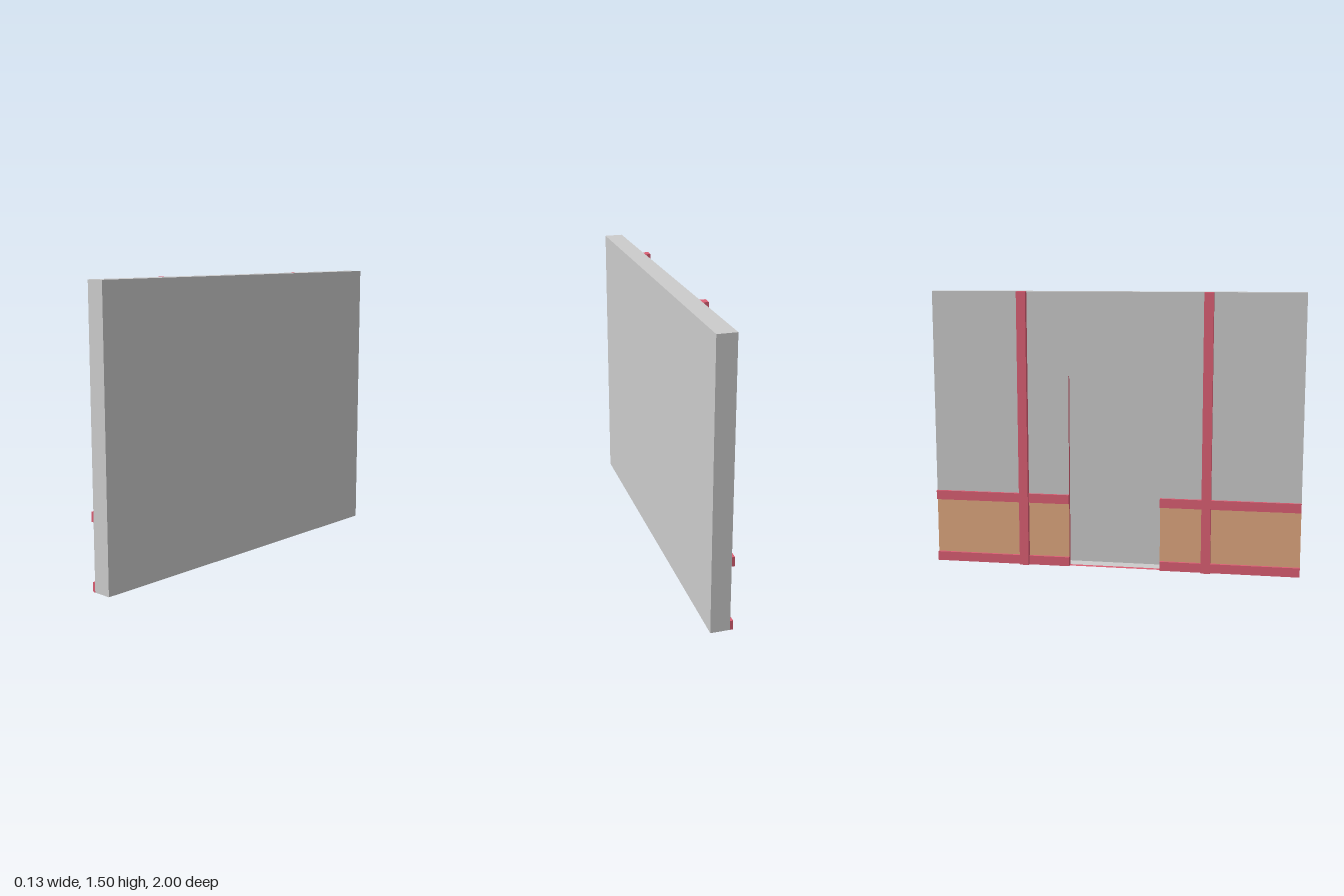
import * as THREE from 'three';

const H = 1.5, HALF = 1;                  // wall height, half length
const FACE = -0.035, REAR = 0.065;        // the two wall faces in x
const DOOR = 0.25, DOOR_H = 1.05;         // door half width and height
const REVEAL = 0.025;                     // depth of the door lining
const RAIL = 0.05, RAIL_Y = 0.35;

const side = THREE.DoubleSide;
const wallMat = new THREE.MeshStandardMaterial({ color: 0xcccccc, side });
const trimMat = new THREE.MeshStandardMaterial({ color: 0xdc5f74, side });
const panelMat = new THREE.MeshStandardMaterial({ color: 0xe0a880, side });

export function createModel() {
  const model = new THREE.Group();

  const add = (name, geometry, material, x = 0, y = 0, z = 0) => {
    const mesh = new THREE.Mesh(geometry, material);
    mesh.name = name;
    mesh.position.set(x, y, z);
    model.add(mesh);
    return mesh;
  };
  const flat = (points) =>
    new THREE.ShapeGeometry(new THREE.Shape(points.map(([a, b]) => new THREE.Vector2(a, b))));
  const box = (name, x0, x1, y0, y1, z0, z1) =>
    add(name, new THREE.BoxGeometry(x1 - x0, y1 - y0, z1 - z0), trimMat,
      (x0 + x1) / 2, (y0 + y1) / 2, (z0 + z1) / 2);

  // Hollow wall: panelled face above the wainscot, with the door opening
  add('wallFace', flat([
    [-HALF, RAIL_Y], [-DOOR, RAIL_Y], [-DOOR, DOOR_H], [DOOR, DOOR_H],
    [DOOR, RAIL_Y], [HALF, RAIL_Y], [HALF, H], [-HALF, H],
  ]).rotateY(-Math.PI / 2), wallMat, FACE);

  // Plain rear face, top and ends
  const thick = REAR - FACE, midX = (REAR + FACE) / 2;
  add('wallRear', new THREE.PlaneGeometry(2 * HALF, H).rotateY(Math.PI / 2), wallMat, REAR, H / 2);
  add('wallTop', new THREE.PlaneGeometry(thick, 2 * HALF).rotateX(-Math.PI / 2), wallMat, midX, H);
  add('wallEndFront', new THREE.PlaneGeometry(thick, H), wallMat, midX, H / 2, HALF);
  add('wallEndBack', new THREE.PlaneGeometry(thick, H).rotateY(Math.PI), wallMat, midX, H / 2, -HALF);

  // Floor of the wall, notched for the door sill
  const sillX = FACE + REVEAL;
  add('wallFloor', flat([
    [FACE, -HALF], [REAR, -HALF], [REAR, HALF], [FACE, HALF],
    [FACE, DOOR], [sillX, DOOR], [sillX, -DOOR], [FACE, -DOOR],
  ]).rotateX(Math.PI / 2), wallMat);

  // Door lining: sill, head and jambs
  const liningX = FACE + REVEAL / 2;
  for (const [name, y, turn] of [['doorSill', 0, -1], ['doorHead', DOOR_H, 1]]) {
    add(name, new THREE.PlaneGeometry(REVEAL, 2 * DOOR).rotateX(turn * Math.PI / 2),
      trimMat, liningX, y);
  }

  for (const s of [-1, 1]) {
    const jamb = new THREE.PlaneGeometry(REVEAL, DOOR_H);
    if (s > 0) jamb.rotateY(Math.PI);
    add('doorJamb', jamb, trimMat, liningX, DOOR_H / 2, s * DOOR);

    // Wainscot panel with base and chair rails
    add('wainscot', new THREE.PlaneGeometry(HALF - DOOR, RAIL_Y).rotateY(-Math.PI / 2),
      panelMat, FACE, RAIL_Y / 2, s * (HALF + DOOR) / 2);
    const z0 = s > 0 ? DOOR : -HALF, z1 = s > 0 ? HALF : -DOOR;
    box('baseRail', FACE - 0.015, FACE, 0, RAIL, z0, z1);
    box('chairRail', FACE - 0.015, FACE, RAIL_Y, RAIL_Y + RAIL, z0, z1);

    // Full-height post
    box('post', FACE - 0.03, FACE, 0, H, s * 0.5 - 0.025, s * 0.5 + 0.025);
  }
  return model;
}
